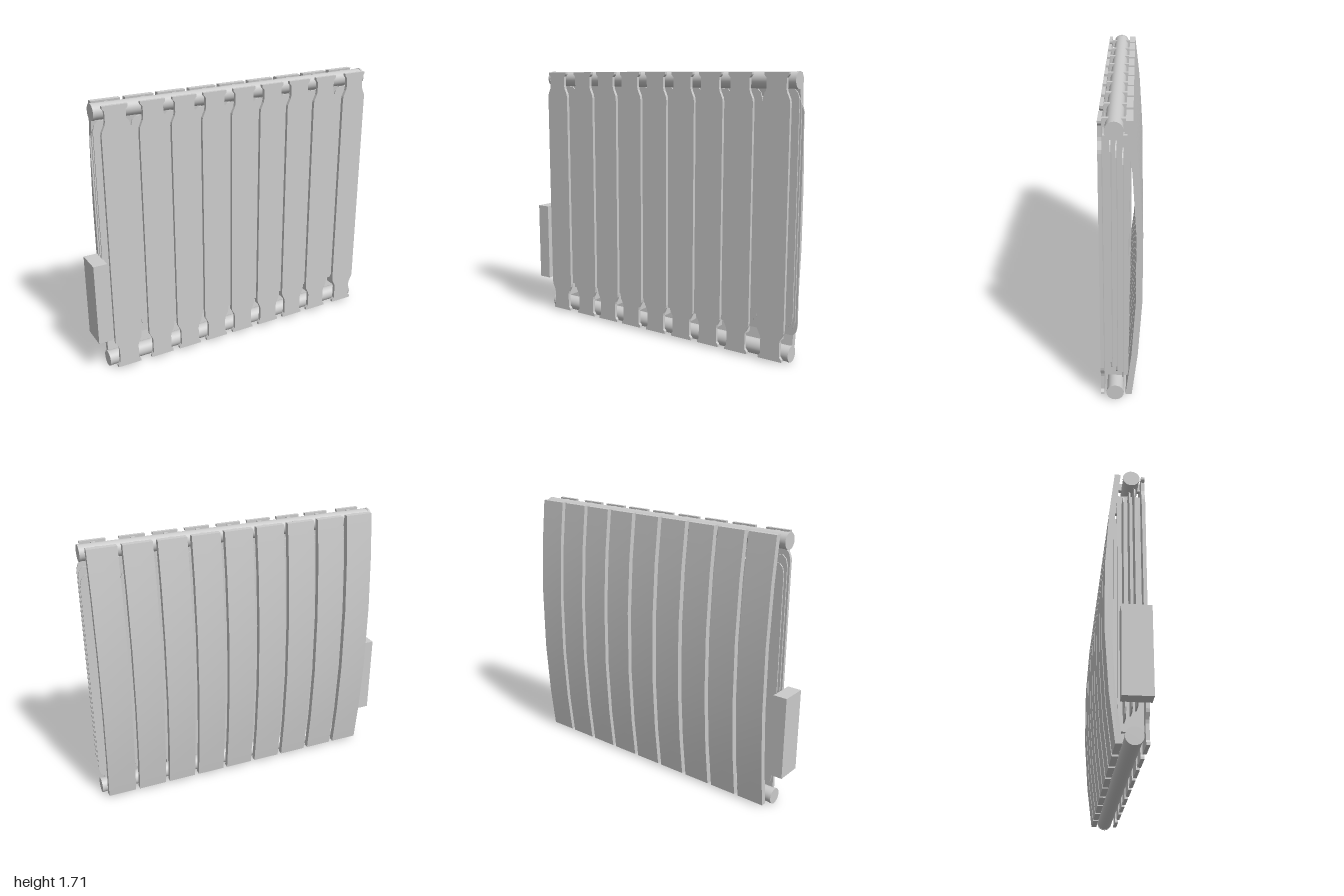
import * as THREE from 'three';
import { toCreasedNormals } from 'three/addons/utils/BufferGeometryUtils.js';

const material = new THREE.MeshStandardMaterial({ color: 0xcccccc });
const TUBE_Z = 0.03, TUBE_X0 = -0.92, TUBE_X1 = 0.985;

function add(parent, name, geometry, x = 0, y = 0, z = 0) {
  const mesh = new THREE.Mesh(geometry, material);
  mesh.name = name;
  mesh.position.set(x, y, z);
  parent.add(mesh);
  return mesh;
}

// Box given by its limits on each axis
function addBox(parent, name, [x0, x1], [y0, y1], [z0, z1]) {
  return add(parent, name, new THREE.BoxGeometry(x1 - x0, y1 - y0, z1 - z0),
    (x0 + x1) / 2, (y0 + y1) / 2, (z0 + z1) / 2);
}

// Flat plate, mirrored about x = 0, from [halfWidth, y] points going upwards
function plateGeometry(side, thickness) {
  const right = side.map(([x, y]) => new THREE.Vector2(x, y));
  const left = side.map(([x, y]) => new THREE.Vector2(-x, y)).reverse();
  const geometry = new THREE.ExtrudeGeometry(new THREE.Shape([...right, ...left]),
    { depth: thickness, bevelEnabled: false });
  return geometry;
}

// Bowed rear panel: an arc profile of constant depth, extruded along x
function rearPanelGeometry(width) {
  const ys = [0.02, 0.3, 0.66, 1.07, 1.43, 1.71];
  const bow = (y) => 0.06 * (1 - ((y - 0.865) / 0.845) ** 2);
  const inner = ys.map((y) => new THREE.Vector2(0.03 + bow(y), y));
  const outer = ys.map((y) => new THREE.Vector2(0.066 + bow(y), y));
  const shape = new THREE.Shape([...outer, ...inner.reverse()]);
  const geometry = new THREE.ExtrudeGeometry(shape, { depth: width, bevelEnabled: false });
  geometry.translate(0, 0, -width / 2);
  geometry.rotateY(Math.PI / 2);
  return toCreasedNormals(geometry, 0.5);
}

export function createModel() {
  const model = new THREE.Group();
  model.name = 'radiator';

  // Front plate: full width in the middle, necked around the tubes, small end tabs
  const frontPlate = plateGeometry([
    [0.078, 0.02], [0.077, 0.035], [0.064, 0.05], [0.063, 0.14], [0.067, 0.16],
    [0.085, 0.195], [0.088, 0.215], [0.088, 1.54], [0.085, 1.56], [0.067, 1.6],
    [0.063, 1.62], [0.064, 1.68], [0.077, 1.695], [0.078, 1.71],
  ], 0.021);

  // Three thin convector fins, staggered in height from front to back
  const fins = [[0.05, 0.28, 1.56], [0.02, 0.25, 1.53], [-0.015, 0.21, 1.49]].map(([z, y0, y1]) => ({
    z,
    geometry: plateGeometry([
      [0.085, y0 - 0.055], [0.105, y0 - 0.035], [0.115, y0],
      [0.115, y1], [0.105, y1 + 0.035], [0.085, y1 + 0.055],
    ], 0.008),
  }));

  // Front sections
  const frontX = [-0.802, -0.572, -0.37, -0.168, 0.035, 0.24, 0.442, 0.645, 0.88];
  for (const x of frontX) {
    const section = new THREE.Group();
    section.name = 'section';
    section.position.x = x;
    model.add(section);
    add(section, 'frontPlate', frontPlate, 0, 0, 0.093);
    addBox(section, 'web', [-0.013, 0.013], [0.11, 1.61], [-0.045, 0.093]);
    addBox(section, 'topTab', [-0.013, 0.013], [1.655, 1.702], [-0.035, 0.093]);
    for (const { z, geometry } of fins) add(section, 'fin', geometry, 0, 0, z - 0.004);
  }

  // Evenly spaced bowed panels at the back
  const rearPanel = rearPanelGeometry(0.18);
  for (let i = 0; i < 9; i++) add(model, 'rearPanel', rearPanel, -0.8 + i * 0.208);

  // Horizontal water tubes with end collars
  const tube = new THREE.CylinderGeometry(0.048, 0.048, TUBE_X1 - TUBE_X0 - 0.01, 32).rotateZ(Math.PI / 2);
  const collar = new THREE.CylinderGeometry(0.05, 0.05, 0.014, 32).rotateZ(Math.PI / 2);
  for (const [name, y] of [['bottomTube', 0.053], ['topTube', 1.665]]) {
    add(model, name, tube, (TUBE_X0 + TUBE_X1) / 2, y, TUBE_Z);
    for (const x of [TUBE_X0 + 0.009, TUBE_X1 - 0.009]) add(model, 'tubeCollar', collar, x, y, TUBE_Z);
  }

  // Control box on the side
  addBox(model, 'controlBox', [-1, -0.912], [0.237, 0.763], [-0.043, 0.125]);

  return model;
}
